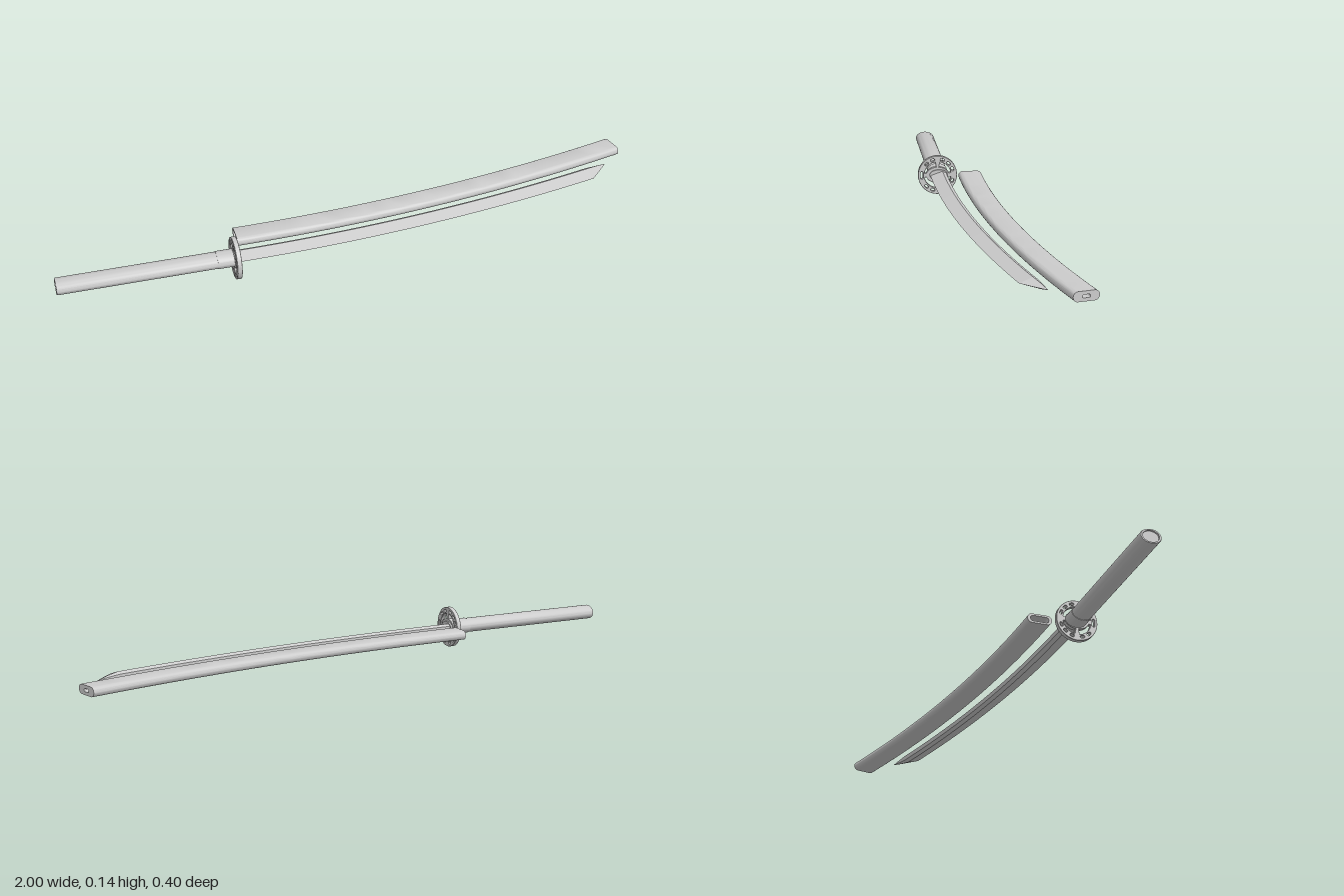
import * as THREE from 'three';
import { toCreasedNormals } from 'three/addons/utils/BufferGeometryUtils.js';

const Y = 0.07; // height of the common centre plane
const GUARD_Z = 0.126;

// Stadium outline as [across, up] points
function stadium(halfW, halfH, n = 12) {
  const pts = [];
  for (const side of [1, -1]) {
    for (let i = 0; i <= n; i++) {
      const a = -Math.PI / 2 + (Math.PI * i) / n;
      pts.push([side * (halfW - halfH + halfH * Math.cos(a)), side * halfH * Math.sin(a)]);
    }
  }
  return pts;
}

// Ellipse outline as [across, up] points
function ellipse(halfW, halfH, n = 32) {
  return Array.from({ length: n }, (_, i) => {
    const a = (2 * Math.PI * i) / n;
    return [halfW * Math.cos(a), halfH * Math.sin(a)];
  });
}

// Skin stations { x, pts } along a spine z(x); sections stay square to the spine
function loft(stations, spine, crease = 0.5) {
  const rings = stations.map(({ x, pts }) => {
    const slope = (spine(x + 1e-3) - spine(x - 1e-3)) / 2e-3;
    const len = Math.hypot(1, slope);
    return pts.map(([w, h]) => new THREE.Vector3(x - (w * slope) / len, Y + h, spine(x) + w / len));
  });
  const verts = [];
  const tri = (...ps) => ps.forEach((p) => verts.push(p.x, p.y, p.z));
  const n = rings[0].length;
  const centre = (r) => r.reduce((s, p) => s.add(p), new THREE.Vector3()).divideScalar(n);
  const first = rings[0], last = rings[rings.length - 1];
  const c0 = centre(first), c1 = centre(last);
  for (let j = 0; j < n; j++) {
    const k = (j + 1) % n;
    for (let i = 0; i < rings.length - 1; i++) {
      const a = rings[i], b = rings[i + 1];
      tri(a[j], b[j], a[k]);
      tri(b[j], b[k], a[k]);
    }
    tri(c0, first[j], first[k]);
    tri(c1, last[k], last[j]);
  }
  const geo = new THREE.BufferGeometry();
  geo.setAttribute('position', new THREE.Float32BufferAttribute(verts, 3));
  return toCreasedNormals(geo, crease);
}

const range = (a, b, n) => Array.from({ length: n + 1 }, (_, i) => a + ((b - a) * i) / n);

// Pierced round guard: ring of small slots around four curved windows
function guardGeometry(depth) {
  const shape = new THREE.Shape().absarc(0, 0, 0.069, 0, Math.PI * 2);
  const rad = THREE.MathUtils.degToRad;

  const slot = (deg, halfSpan) => {
    const r = 0.0565, h = 0.0042, pts = [];
    const mid = rad(deg), span = halfSpan / r;
    for (const side of [1, -1]) {
      for (let i = 0; i <= 8; i++) {
        const a = (Math.PI * i) / 8;
        const ang = mid + side * (span + (h * Math.sin(a)) / r);
        const rr = r + side * h * Math.cos(a);
        pts.push(new THREE.Vector2(rr * Math.cos(ang), rr * Math.sin(ang)));
      }
    }
    shape.holes.push(new THREE.Path(pts));
  };
  for (const sx of [0, 1]) {
    for (const sy of [1, -1]) {
      for (const deg of [22, 46, 72]) {
        if (sx && deg === 22) continue;
        slot(sy * (sx ? 180 - deg : deg), 0.003);
      }
    }
  }
  slot(180, 0.009);

  // Windows between the oval hub and the rim
  for (const start of [10, 100, 190, 280]) {
    const pts = [];
    for (const a of range(rad(start), rad(start + 70), 14)) {
      pts.push(new THREE.Vector2(0.047 * Math.cos(a), 0.047 * Math.sin(a)));
    }
    for (const a of range(rad(start + 70), rad(start), 14)) {
      const r = 1 / Math.hypot(Math.cos(a) / 0.041, Math.sin(a) / 0.029);
      pts.push(new THREE.Vector2(r * Math.cos(a), r * Math.sin(a)));
    }
    shape.holes.push(new THREE.Path(pts));
  }
  const geo = new THREE.ExtrudeGeometry(shape, {
    depth, curveSegments: 32, bevelEnabled: true, bevelSegments: 1,
    bevelSize: 0.001, bevelThickness: 0.001, bevelOffset: -0.001,
  });
  geo.rotateY(Math.PI / 2);
  return toCreasedNormals(geo, 0.5);
}

export function createModel() {
  const model = new THREE.Group();
  const material = new THREE.MeshStandardMaterial({ color: 0xcccccc });
  const add = (name, geo) => {
    const mesh = new THREE.Mesh(geo, material);
    mesh.name = name;
    model.add(mesh);
    return mesh;
  };
  const straight = () => GUARD_Z - 0.003;

  // Handle with a shallow inset in the pommel
  const grip = (s) => ellipse(0.034 * s, 0.024 * s);
  add('handle', loft([
    { x: -0.995, pts: grip(0.76) },
    { x: -1, pts: grip(0.78) },
    { x: -1, pts: grip(0.95) },
    { x: -0.997, pts: grip(1) },
    { x: -0.48, pts: grip(1) },
  ], straight));

  // Ferrule and washers either side of the guard
  const sleeve = (name, x0, x1, w, h) => add(name, loft(
    [{ x: x0, pts: ellipse(w, h) }, { x: x1, pts: ellipse(w, h) }], straight));
  sleeve('ferrule', -0.485, -0.43, 0.0355, 0.0255);
  sleeve('frontWasher', -0.416, -0.409, 0.033, 0.02);

  const guard = add('guard', guardGeometry(0.014));
  guard.position.set(-0.43, Y, GUARD_Z + 0.001);

  // Curved blade: narrow spine, ridge line, long flat down to the edge
  const bladeSpine = (x) => 0.097 - 0.159 * ((x + 0.413) / 1.338) ** 2;
  const bladeSection = (s, t = s) => [
    [0.056 * s, 0], [0.013 * s, 0.0145 * t], [0, 0.008 * t],
    [0, -0.008 * t], [0.013 * s, -0.0145 * t],
  ];
  add('blade', loft([
    ...range(-0.413, 0.842, 32).map((x) => ({ x, pts: bladeSection(1) })),
    { x: 0.885, pts: bladeSection(0.5, 0.6) },
    { x: 0.924, pts: bladeSection(0.01, 0.03) },
  ], bladeSpine, 0.15));

  // Curved sheath, open at the mouth with a small slot in the end
  const sheathSpine = (x) => 0.014 - 0.174 * ((x + 0.4) / 1.39) ** 2;
  const outer = stadium(0.041, 0.0155);
  const mouth = stadium(0.031, 0.0095);
  const endSlot = stadium(0.0125, 0.005);
  add('sheath', loft([
    { x: -0.3, pts: mouth },
    { x: -0.4, pts: mouth },
    { x: -0.4, pts: outer },
    ...range(-0.38, 0.97, 32).map((x) => ({ x, pts: outer })),
    { x: 0.99, pts: outer },
    { x: 0.99, pts: endSlot },
    { x: 0.955, pts: endSlot },
  ], sheathSpine));

  return model;
}
